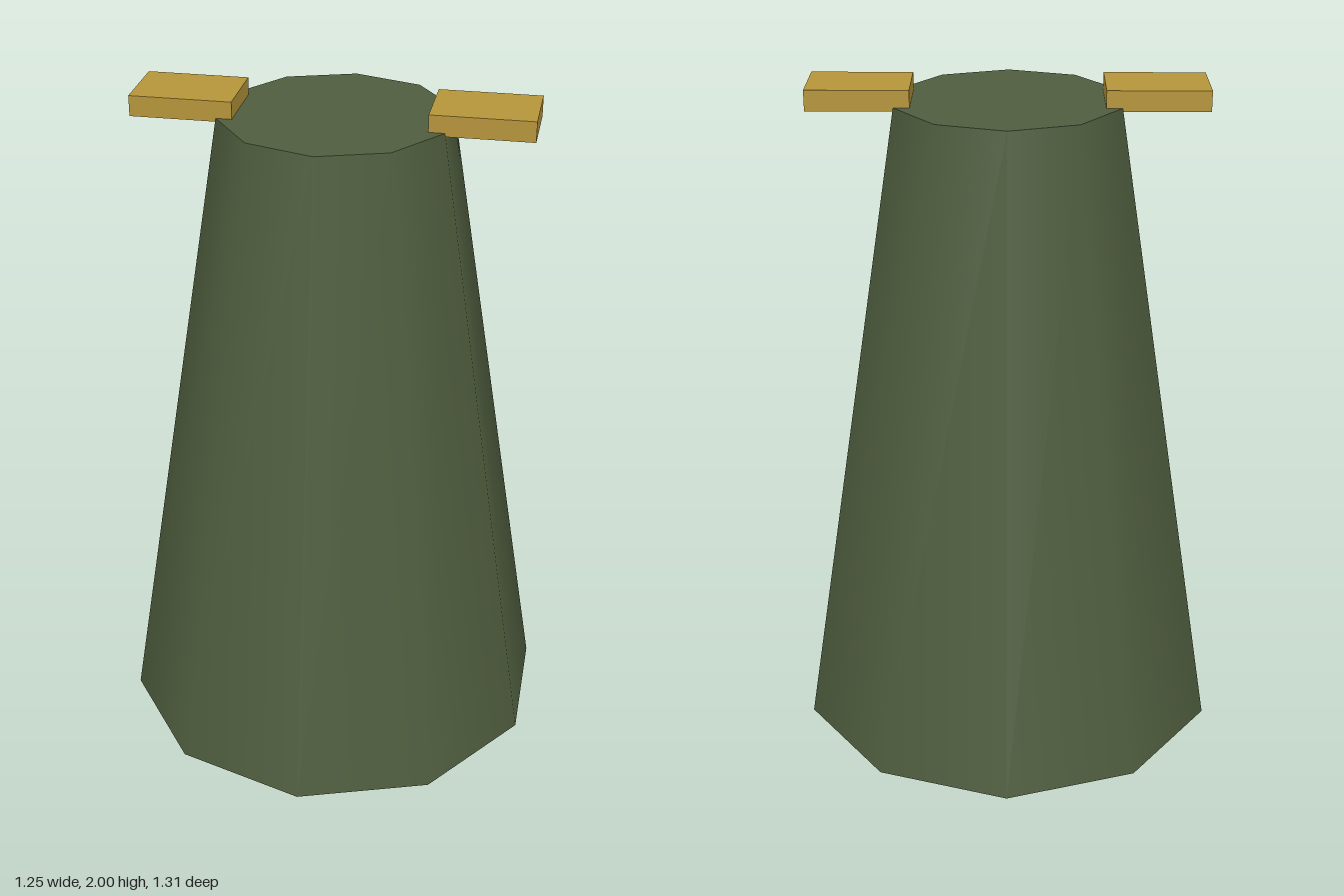
import * as THREE from 'three';

export function createModel() {
  const model = new THREE.Group();
  const green = new THREE.MeshStandardMaterial({ color: 0x4f5d3e });
  green.name = 'olive green';
  const gold = new THREE.MeshStandardMaterial({ color: 0xb5943a });
  gold.name = 'dull gold';

  // Tapered ten-sided body with smooth sides and flat caps
  const height = 1.95;
  const body = new THREE.Mesh(new THREE.CylinderGeometry(0.338, 0.655, height, 10), green);
  body.name = 'body';
  body.position.y = height / 2;
  model.add(body);

  // Flat tabs reaching outwards from the top rim
  const tabGeometry = new THREE.BoxGeometry(0.295, 0.06, 0.21);
  for (const side of [-1, 1]) {
    const tab = new THREE.Mesh(tabGeometry, gold);
    tab.name = side > 0 ? 'leftShoulderTab' : 'rightShoulderTab';
    tab.position.set(side * 0.4225, 1.97, 0);
    model.add(tab);
  }
  return model;
}
